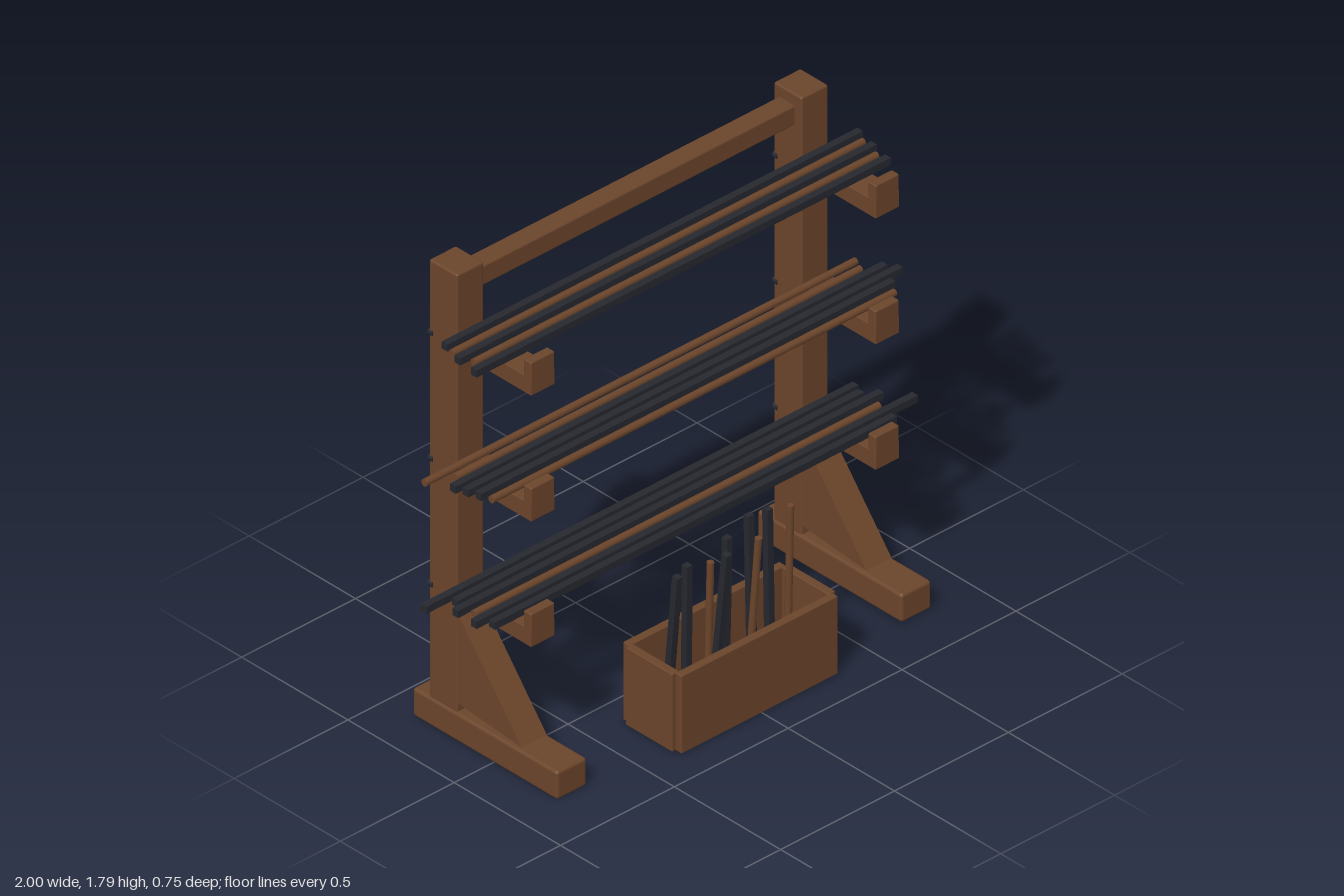
import * as THREE from 'three';
import { RoundedBoxGeometry } from 'three/addons/geometries/RoundedBoxGeometry.js';

const wood = new THREE.MeshStandardMaterial({ color: 0x6b452b });
wood.name = 'brown wood';
const steel = new THREE.MeshStandardMaterial({ color: 0x26282f });
steel.name = 'dark steel';

export function createModel() {
  const root = new THREE.Group();
  root.name = 'stockRack';

  function add(name, geometry, material, x, y, z, parent = root) {
    const mesh = new THREE.Mesh(geometry, material);
    mesh.name = name;
    mesh.position.set(x, y, z);
    parent.add(mesh);
    return mesh;
  }
  // Box given by its limits on each axis, with softened edges
  function block(name, [x0, x1], [y0, y1], [z0, z1], parent, r = 0.008) {
    const g = new RoundedBoxGeometry(x1 - x0, y1 - y0, z1 - z0, 2, r);
    return add(name, g, wood, (x0 + x1) / 2, (y0 + y1) / 2, (z0 + z1) / 2, parent);
  }
  // Straight bar between two points: steel bars are square, wooden ones round
  function bar(name, a, b, isSteel, size, parent) {
    const dir = b.clone().sub(a);
    const len = dir.length();
    const g = isSteel
      ? new THREE.BoxGeometry(size, len, size)
      : new THREE.CylinderGeometry(size / 2, size / 2, len, 10);
    const mesh = add(name, g, isSteel ? steel : wood, 0, 0, 0, parent);
    mesh.position.copy(a).add(b).multiplyScalar(0.5);
    mesh.quaternion.setFromUnitVectors(new THREE.Vector3(0, 1, 0), dir.normalize());
  }

  const shelfTops = [1.55, 1.066, 0.583];

  // Two upright frames with foot, brace and hooked arms
  for (const [side, x] of [['right', -0.765], ['left', 0.748]]) {
    const frame = new THREE.Group();
    frame.name = side + 'Frame';
    frame.position.x = x;
    root.add(frame);
    block('post', [-0.059, 0.059], [0.02, 1.787], [-0.307, -0.175], frame);
    block('foot', [-0.066, 0.066], [0, 0.108], [-0.378, 0.303], frame, 0.012);

    // Brace profile: shape x is world z
    const tri = new THREE.Shape([
      new THREE.Vector2(0.125, 0.114),
      new THREE.Vector2(-0.177, 0.485),
      new THREE.Vector2(-0.177, 0.14),
    ]);
    const braceGeo = new THREE.ExtrudeGeometry(tri, { depth: 0.11, bevelEnabled: false });
    add('brace', braceGeo, wood, 0.055, 0, 0, frame).rotation.y = -Math.PI / 2;
    frame.getObjectByName('brace').position.x = 0.055;

    for (const top of shelfTops) {
      block('arm', [-0.052, 0.052], [top - 0.066, top], [-0.18, 0.166], frame, 0.003);
      block('armLip', [-0.052, 0.052], [top - 0.02, top + 0.061], [0.13, 0.166], frame, 0.005);
      const bolt = new THREE.CylinderGeometry(0.012, 0.012, 0.02, 10);
      add('bolt', bolt, steel, -0.053, top - 0.042, -0.299, frame).rotation.x = Math.PI / 2;
    }
  }
  block('topBeam', [-0.72, 0.705], [1.665, 1.742], [-0.285, -0.209]);

  // Stored bars per shelf: slot from the front, steel or wood, right and left ends
  const shelves = [
    [[1, 1, -0.94, 0.88], [2, 0, -0.9, 0.87], [3, 1, -0.93, 0.9], [4, 0, -0.914, 0.893], [5, 1, -0.905, 0.92]],
    [[0, 0, -0.904, 0.867], [1, 1, -0.92, 0.9], [2, 1, -0.935, 0.973], [3, 1, -0.95, 0.947],
      [4, 0, -0.9, 0.88], [5, 0, -0.995, 0.9]],
    [[0, 1, -0.9, 0.865], [1, 1, -0.94, 0.998], [2, 0, -0.9, 0.88], [3, 1, -0.94, 0.93],
      [4, 1, -0.9, 0.885], [5, 1, -0.998, 0.9]],
  ];
  shelves.forEach((bars, i) => {
    const y = shelfTops[i] + 0.0135;
    for (const [slot, isSteel, x0, x1] of bars) {
      const z = 0.071 - slot * 0.0436;
      bar('storedBar', new THREE.Vector3(x0, y, z), new THREE.Vector3(x1, y, z), isSteel, 0.027);
    }
  });

  // Open bin for short offcuts
  const bin = new THREE.Group();
  bin.name = 'offcutBin';
  root.add(bin);
  const binY = [0, 0.299];
  block('binFront', [-0.353, 0.334], binY, [0.346, 0.377], bin, 0.004);
  block('binBack', [-0.353, 0.334], binY, [0.1, 0.131], bin, 0.004);
  block('binRightSide', [-0.368, -0.336], binY, [0.129, 0.348], bin, 0.004);
  block('binLeftSide', [0.317, 0.349], binY, [0.129, 0.348], bin, 0.004);
  block('binFloor', [-0.338, 0.319], [0.003, 0.03], [0.129, 0.348], bin, 0.002);

  // Leaning offcuts: x, z at the bottom, z at the top, steel or wood
  const offcuts = [
    [-0.285, 0.23, 0.284, 1], [-0.216, 0.252, 0.256, 1], [-0.149, 0.278, 0.294, 0],
    [-0.08, 0.235, 0.297, 1], [-0.011, 0.21, 0.225, 1], [0.059, 0.248, 0.297, 0],
    [0.129, 0.192, 0.177, 1], [0.197, 0.203, 0.192, 1], [0.265, 0.213, 0.227, 0],
  ];
  for (const [x, z0, z1, isSteel] of offcuts) {
    bar('offcut', new THREE.Vector3(x, 0.025, z0), new THREE.Vector3(x, 0.608, z1), isSteel, 0.025, bin);
  }
  return root;
}
